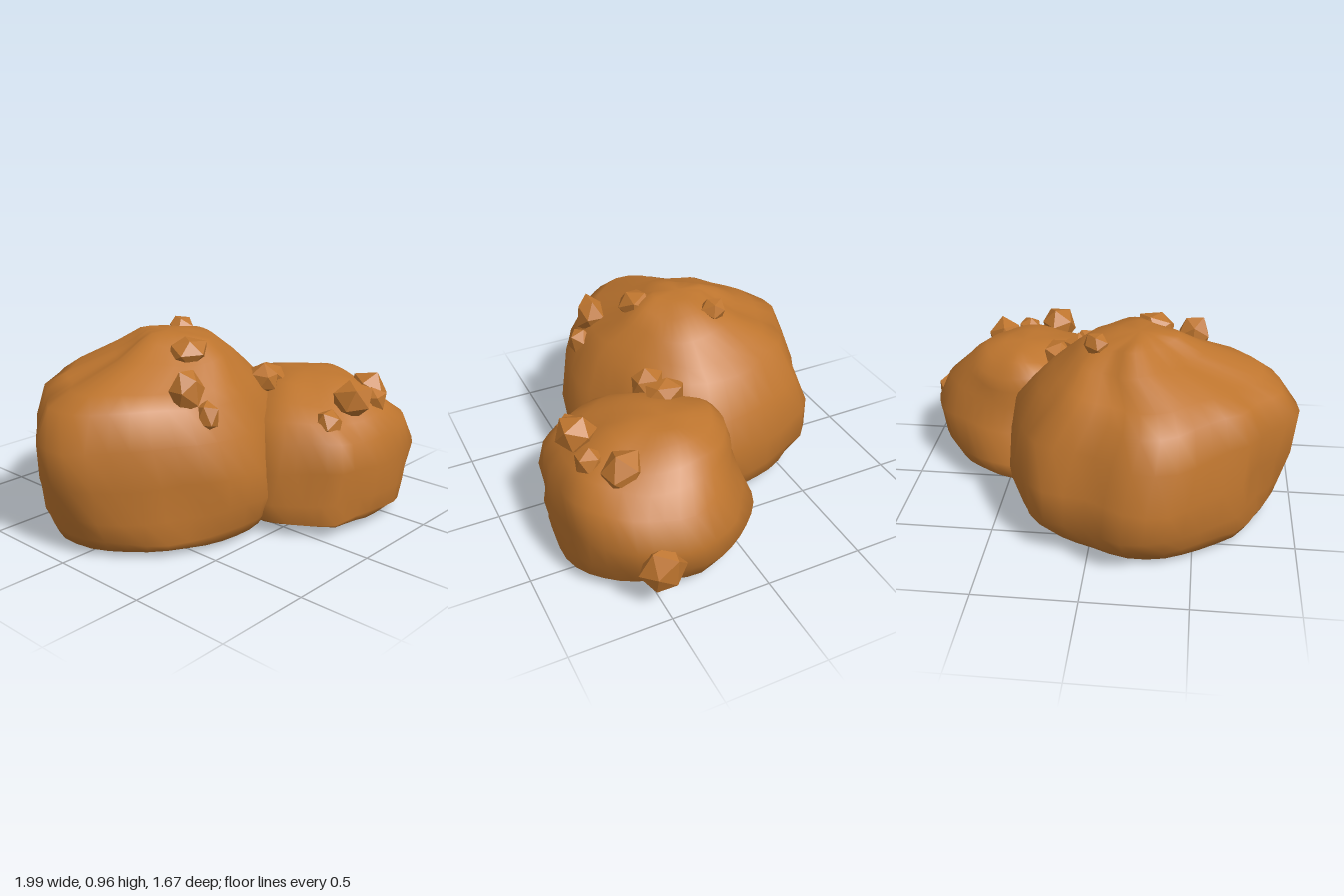
import * as THREE from 'three';

const copper = new THREE.MeshStandardMaterial({ color: 0xbe752e });
const copperFacet = new THREE.MeshStandardMaterial({ color: 0xbe752e, flatShading: true });
const SEGMENTS = 40;

// Boulder: a plan outline fitted to each level [y, xMin, xMax, zMin, zMax, roundness]
function boulder(name, plan, levels, seed) {
  const curve = new THREE.CatmullRomCurve3(plan.map(([x, z]) => new THREE.Vector3(x, 0, z)), true);
  const outline = curve.getSpacedPoints(SEGMENTS).slice(0, SEGMENTS);
  const box = new THREE.Box3().setFromPoints(outline);
  const middle = box.getCenter(new THREE.Vector3()), size = box.getSize(new THREE.Vector3());
  const position = [], index = [];
  levels.forEach(([y, x0, x1, z0, z1, round = 0], row) => {
    const edge = row === 0 || row === levels.length - 1;
    outline.forEach((p, i) => {
      const a = (i / SEGMENTS) * Math.PI * 2;
      // gentle lumps break up the regular layers
      const lump = edge ? 1 : 1 + 0.01 * Math.sin(a * 5 + row * 1.7 + seed) + 0.01 * Math.sin(a * 9 - row * 2.3);
      const lift = edge ? 0 : 0.01 * Math.sin(a * 4 + row * 0.9 + seed);
      const u = (p.x - middle.x) / size.x, v = (p.z - middle.z) / size.z;
      const scale = THREE.MathUtils.lerp(1, 0.5 / Math.hypot(u, v), round) * lump;
      position.push((x0 + x1) / 2 + u * scale * (x1 - x0), y + lift, (z0 + z1) / 2 + v * scale * (z1 - z0));
    });
  });
  for (let r = 0; r < levels.length - 1; r++) {
    for (let i = 0; i < SEGMENTS; i++) {
      const a = r * SEGMENTS + i, b = r * SEGMENTS + ((i + 1) % SEGMENTS);
      index.push(a, b, a + SEGMENTS, b, b + SEGMENTS, a + SEGMENTS);
    }
  }
  // close the underside and the crown
  [[0, -1], [levels.length - 1, 1]].forEach(([r, dir]) => {
    const [y, x0, x1, z0, z1] = levels[r];
    const centre = position.length / 3;
    position.push((x0 + x1) / 2, dir < 0 ? y - 0.03 : y + 0.005, (z0 + z1) / 2);
    for (let i = 0; i < SEGMENTS; i++) {
      const a = r * SEGMENTS + i, b = r * SEGMENTS + ((i + 1) % SEGMENTS);
      if (dir > 0) index.push(a, b, centre);
      else index.push(b, a, centre);
    }
  });
  const geometry = new THREE.BufferGeometry();
  geometry.setAttribute('position', new THREE.Float32BufferAttribute(position, 3));
  geometry.setIndex(index);
  geometry.computeVertexNormals();
  const mesh = new THREE.Mesh(geometry, copper);
  mesh.name = name;
  return mesh;
}

// Nugget: a squashed, turned icosahedron with uneven corners
function nugget([x, y, z, sx, sy, sz], i) {
  const geometry = new THREE.IcosahedronGeometry(1, 0);
  const p = geometry.attributes.position, v = new THREE.Vector3();
  geometry.rotateX(i * 1.3).rotateZ(i * 0.8);
  for (let k = 0; k < p.count; k++) {
    v.fromBufferAttribute(p, k);
    v.multiplyScalar(1 + 0.1 * Math.sin(v.x * 5 + v.y * 3 + v.z * 4 + i));
    p.setXYZ(k, v.x * sx, v.y * sy, v.z * sz);
  }
  geometry.computeVertexNormals();
  const mesh = new THREE.Mesh(geometry, copperFacet);
  mesh.position.set(x, y, z);
  mesh.name = `nugget${i + 1}`;
  return mesh;
}

export function createModel() {
  const group = new THREE.Group();
  group.name = 'oreRocks';

  // Large boulder at the back
  group.add(boulder('largeBoulder', [
    [-0.2, -0.83], [-0.29, -0.83], [-0.4, -0.8], [-0.55, -0.67], [-0.66, -0.58], [-0.78, -0.5], [-0.81, -0.39],
    [-0.98, -0.2], [-1, -0.1], [-0.98, 0.05], [-0.85, 0.2], [-0.75, 0.3], [-0.6, 0.38], [-0.48, 0.46],
    [-0.35, 0.49], [-0.15, 0.5], [0.02, 0.42], [0.22, 0.32], [0.4, 0.15], [0.46, 0], [0.45, -0.15],
    [0.41, -0.33], [0.3, -0.55], [0.26, -0.62], [0.15, -0.68], [0, -0.71], [-0.1, -0.78],
  ], [
    [0.035, -0.87, 0.36, -0.7, 0.44, 0.6],
    [0.09, -0.91, 0.42, -0.75, 0.48, 0.4],
    [0.2, -0.94, 0.46, -0.83, 0.5, 0.1],
    [0.36, -0.97, 0.47, -0.83, 0.5],
    [0.55, -1, 0.43, -0.76, 0.46],
    [0.7, -0.91, 0.3, -0.7, 0.37],
    [0.76, -0.8, 0.23, -0.59, 0.31],
    [0.85, -0.52, 0.13, -0.43, 0.21],
    [0.92, -0.39, 0.03, -0.31, 0.12],
    [0.95, -0.3, -0.1, -0.24, 0.03],
  ], 0));

  // Smaller boulder leaning against its front left
  group.add(boulder('smallBoulder', [
    [0.35, -0.15], [0.2, -0.08], [0, 0.1], [-0.12, 0.32], [-0.15, 0.47], [-0.08, 0.58], [0, 0.7],
    [0.06, 0.78], [0.2, 0.8], [0.3, 0.83], [0.45, 0.83], [0.62, 0.81], [0.72, 0.76], [0.8, 0.68],
    [0.87, 0.6], [0.93, 0.45], [0.95, 0.28], [0.85, 0.06], [0.77, -0.02], [0.6, -0.14], [0.46, -0.17],
  ], [
    [0.055, -0.1, 0.82, -0.1, 0.8],
    [0.08, -0.14, 0.86, -0.14, 0.82],
    [0.17, -0.14, 0.91, -0.17, 0.82],
    [0.33, -0.13, 0.96, -0.09, 0.83],
    [0.47, -0.1, 0.88, -0.05, 0.81, 0.3],
    [0.55, -0.03, 0.79, -0.05, 0.74, 0.6],
    [0.61, 0.07, 0.73, -0.03, 0.66, 0.6],
    [0.67, 0.2, 0.65, 0.04, 0.54, 0.6],
    [0.695, 0.33, 0.55, 0.14, 0.42, 0.6],
  ], 2));

  // Exposed nuggets: position, then half sizes
  [
    [-0.46, 0.78, 0.28, 0.09, 0.11, 0.08],
    [-0.405, 0.65, 0.355, 0.06, 0.09, 0.07],
    [-0.265, 0.89, 0.1, 0.11, 0.08, 0.1],
    [0, 0.92, -0.21, 0.07, 0.06, 0.07],
    [0.15, 0.69, 0.23, 0.08, 0.08, 0.09],
    [0.25, 0.68, 0.18, 0.08, 0.075, 0.11],
    [0.15, 0.54, 0.64, 0.08, 0.09, 0.08],
    [0.32, 0.63, 0.66, 0.1, 0.1, 0.11],
    [0.485, 0.59, 0.665, 0.07, 0.08, 0.08],
    [0.61, 0.575, 0.555, 0.09, 0.12, 0.11],
    [0.92, 0.24, 0.505, 0.09, 0.13, 0.11],
  ].forEach((n, i) => group.add(nugget(n, i)));

  return group;
}
